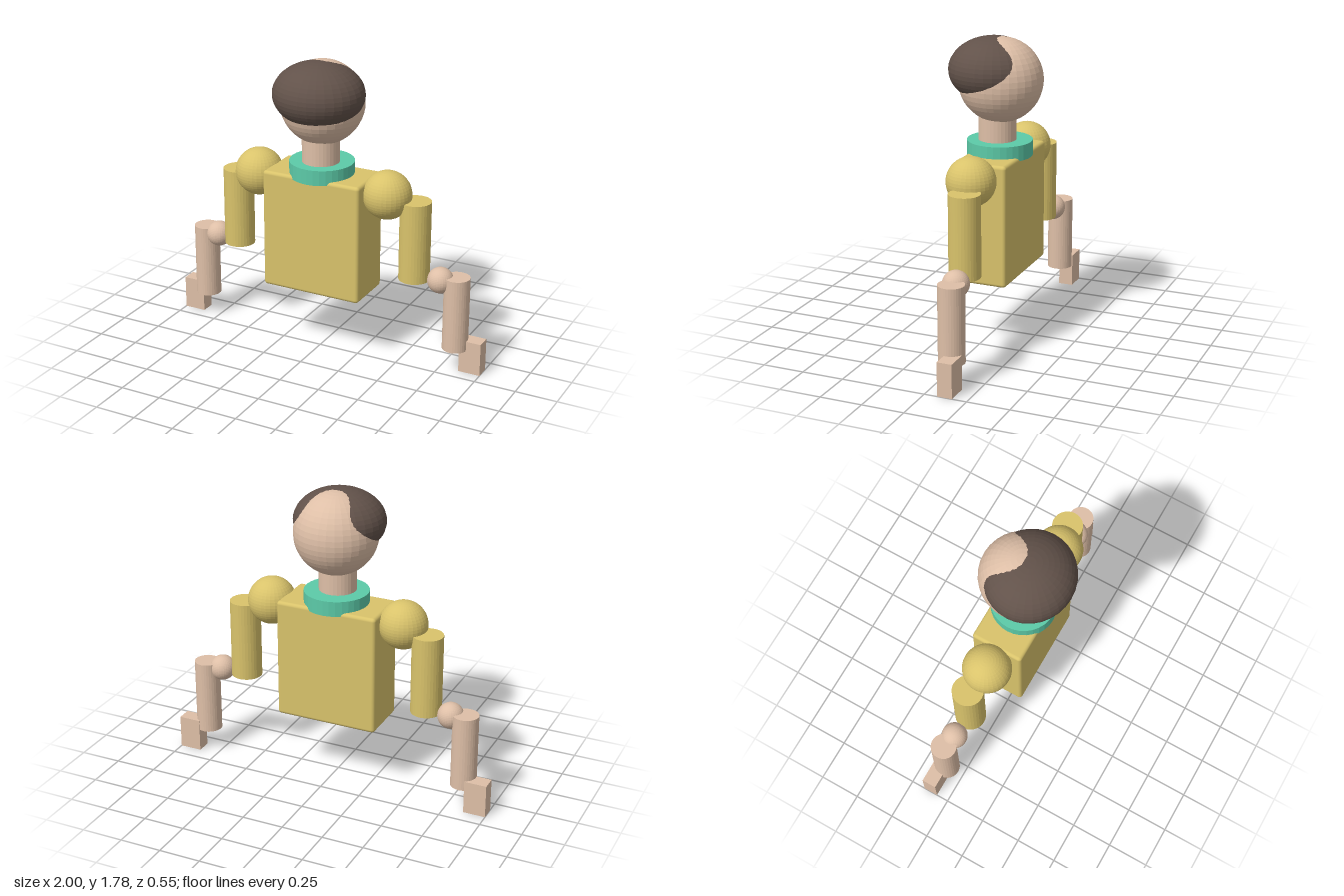
import * as THREE from 'three';
import { RoundedBoxGeometry } from 'three/addons/geometries/RoundedBoxGeometry.js';

const material = (name, color) => {
  const m = new THREE.MeshStandardMaterial({ color });
  m.name = name;
  return m;
};

// Separate faces so each facet gets its own flat normal
const faceted = (geometry) => {
  const g = geometry.toNonIndexed();
  g.computeVertexNormals();
  return g;
};

const ball = (r) => faceted(new THREE.SphereGeometry(r, 32, 24));
const rod = (r, h) => faceted(new THREE.CylinderGeometry(r, r, h, 32));

export function createModel() {
  const skin = material('skin', 0xdebfa7);
  const shirt = material('mustard shirt', 0xd9c36b);
  const collarGreen = material('collar green', 0x5ccaa8);
  const hairBrown = material('hair brown', 0x62524a);

  const model = new THREE.Group();
  model.name = 'figure';
  const add = (parent, name, geometry, mat, x, y, z) => {
    const mesh = new THREE.Mesh(geometry, mat);
    mesh.name = name;
    mesh.position.set(x, y, z);
    parent.add(mesh);
    return mesh;
  };

  // Body, collar and neck
  add(model, 'torso', new RoundedBoxGeometry(0.62, 0.72, 0.315, 3, 0.02), shirt, 0, 0.75, -0.027);
  add(model, 'collar', rod(0.19, 0.09), collarGreen, 0, 1.135, -0.023);
  add(model, 'neck', rod(0.11, 0.23), skin, 0, 1.215, -0.008);

  // Head with a squashed cap of hair pushed forward
  add(model, 'head', ball(0.245), skin, 0, 1.53, -0.028);
  const hairShape = new THREE.SphereGeometry(1, 32, 24).scale(0.268, 0.188, 0.255);
  add(model, 'hair', faceted(hairShape), hairBrown, 0, 1.588, 0.018);

  // Arms, stepping outwards and slightly backwards towards the hands
  for (const side of [1, -1]) {
    const arm = new THREE.Group();
    arm.name = side > 0 ? 'leftArm' : 'rightArm';
    model.add(arm);
    add(arm, 'shoulder', ball(0.142), shirt, side * 0.417, 1.04, -0.025);
    add(arm, 'upperArm', rod(0.091, 0.48), shirt, side * 0.58, 0.78, -0.057);
    add(arm, 'elbow', ball(0.077), skin, side * 0.738, 0.556, -0.074);
    add(arm, 'forearm', rod(0.076, 0.45), skin, side * 0.835, 0.363, -0.09);
    add(arm, 'hand', new THREE.BoxGeometry(0.133, 0.2, 0.088), skin, side * 0.9335, 0.1, -0.12);
  }
  return model;
}
